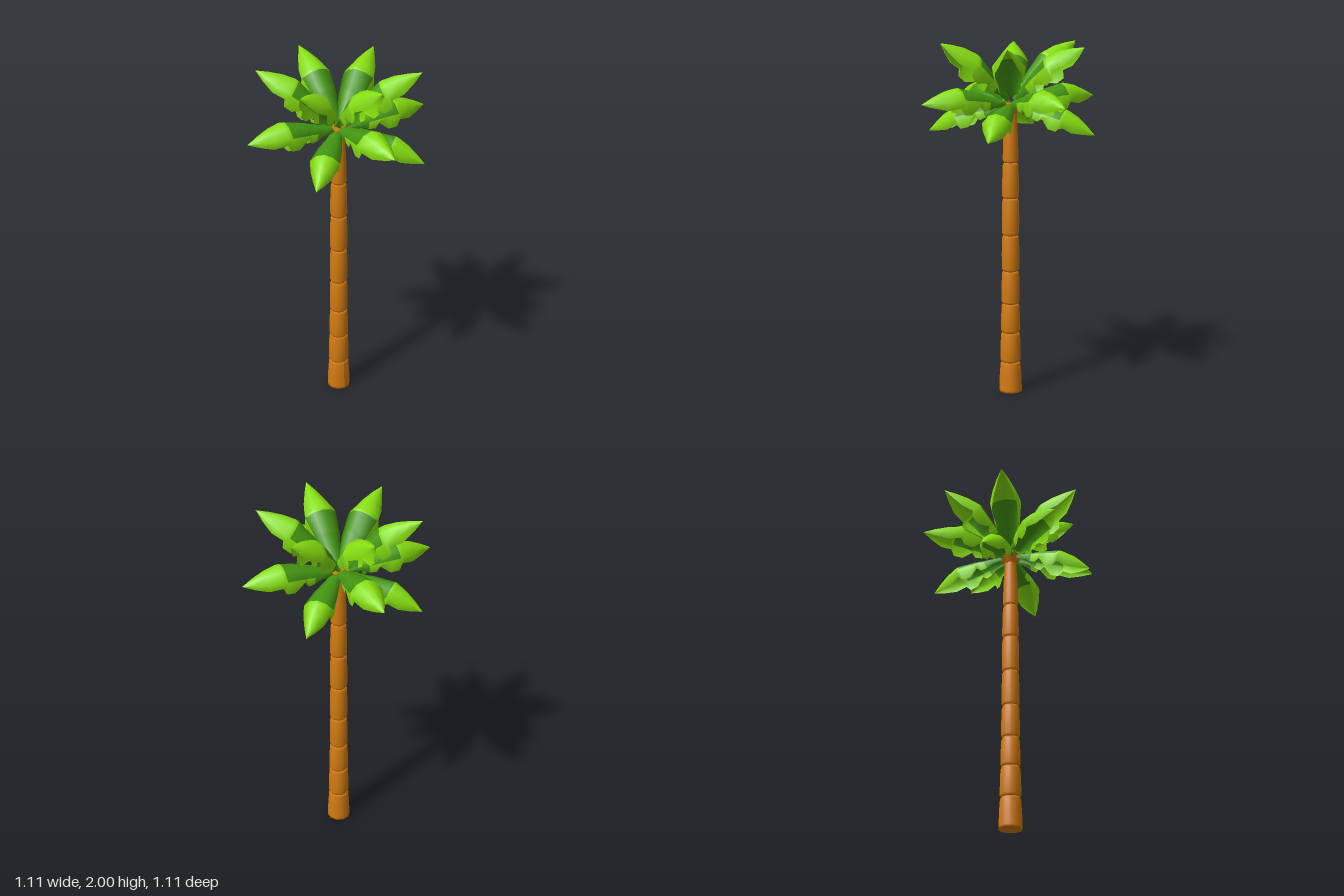
import * as THREE from 'three';

const barkMat = new THREE.MeshStandardMaterial({ color: 0xd27a10 });
barkMat.name = 'bark orange';
const darkLeaf = new THREE.MeshStandardMaterial({ color: 0x449612, side: THREE.DoubleSide });
darkLeaf.name = 'deep green';
const lightLeaf = new THREE.MeshStandardMaterial({ color: 0x86de10, side: THREE.DoubleSide });
lightLeaf.name = 'lime green';

// Frond stations: distance out, half width, ridge height, edge height, ragged hem height
const STATIONS = [
  [0.05, 0.035, 0.035, 0.02, 0.0],
  [0.12, 0.050, 0.058, 0.025, 0.0],
  [0.16, 0.060, 0.068, 0.032, -0.012],
  [0.20, 0.070, 0.082, 0.04, -0.015],
  [0.22, 0.074, 0.088, 0.042, 0.015],
  [0.28, 0.083, 0.102, 0.05, -0.03],
  [0.33, 0.090, 0.115, 0.055, -0.025],
  [0.35, 0.087, 0.115, 0.055, 0.012],
  [0.42, 0.065, 0.1, 0.045, 0.0],
  [0.49, 0.034, 0.07, 0.042, 0.015],
  [0.555, 0, 0.035, 0.035, 0.035],
];

// Arched sheet with drooping hems; dark on the inner top, light on the tip and hems
function frondGeometry() {
  const pos = [], dark = [], light = [];
  for (const [x, w, ridge, edge, hem] of STATIONS) {
    const shoulder = edge + (ridge - edge) * 0.72;
    const half = [[0.82, hem], [1, edge], [0.55, shoulder]];
    for (const [k, y] of half) pos.push(x, y, -w * k);
    pos.push(x, ridge, 0);
    for (const [k, y] of half.slice().reverse()) pos.push(x, y, w * k);
  }
  const cols = 7;
  for (let i = 0; i < STATIONS.length - 1; i++) {
    for (let j = 0; j < cols - 1; j++) {
      const a = i * cols + j, b = a + 1, c = a + cols, d = c + 1;
      const isHem = j === 0 || j === cols - 2;
      const list = i >= 6 || (isHem && i >= 2) ? light : dark;
      list.push(a, b, c);
      if (i < STATIONS.length - 2) list.push(b, d, c);
    }
  }
  const geo = new THREE.BufferGeometry();
  geo.setAttribute('position', new THREE.Float32BufferAttribute(pos, 3));
  geo.setIndex([...dark, ...light]);
  geo.addGroup(0, dark.length, 0);
  geo.addGroup(dark.length, light.length, 1);
  geo.computeVertexNormals();
  return geo;
}

function createTrunk() {
  const trunk = new THREE.Group();
  trunk.name = 'trunk';
  const joints = [0, 0.178, 0.352, 0.522, 0.712, 0.92, 1.132, 1.335, 1.65];
  const radii = [0.066, 0.06, 0.057, 0.053, 0.051, 0.05, 0.049, 0.046, 0.033];
  for (let i = 0; i < joints.length - 1; i++) {
    const y0 = joints[i], y1 = joints[i + 1], r0 = radii[i], last = i === joints.length - 2;
    const r1 = last ? radii[i + 1] : radii[i + 1] - 0.002;
    const profile = [
      [0, y0], [r0 - (i ? 0.009 : 0), y0], [r0 - (i ? 0.001 : 0), y0 + 0.014],
      [(r0 + r1) / 2 + 0.001, (y0 + y1) / 2],
      [r1, y1 - 0.014], [last ? r1 : r1 - 0.008, y1], [0, y1],
    ].map(([r, y]) => new THREE.Vector2(r, y));
    const geo = new THREE.LatheGeometry(profile, 20);
    if (i === 0) {
      // ruffle the foot
      const p = geo.attributes.position;
      for (let v = 0; v < p.count; v++) {
        if (p.getY(v) > 0.05) continue;
        const k = 1 - 0.05 * (1 + Math.cos(10 * Math.atan2(p.getZ(v), p.getX(v)))) / 2;
        p.setX(v, p.getX(v) * k);
        p.setZ(v, p.getZ(v) * k);
      }
      geo.computeVertexNormals();
    }
    const mesh = new THREE.Mesh(geo, barkMat);
    mesh.name = 'trunkSegment' + (i + 1);
    trunk.add(mesh);
  }
  // flared crown under the fronds
  const crown = new THREE.Mesh(new THREE.CylinderGeometry(0.066, 0.034, 0.06, 6), barkMat);
  crown.position.y = 1.635;
  crown.rotation.y = Math.PI / 6;
  crown.name = 'trunkCrown';
  trunk.add(crown);
  return trunk;
}

export function createModel() {
  const tree = new THREE.Group();
  tree.name = 'palmTree';
  tree.add(createTrunk());

  const geo = frondGeometry();
  const fronds = new THREE.Group();
  fronds.name = 'fronds';
  fronds.position.y = 1.65;
  // azimuths in degrees, tilt in degrees, scale
  const rings = [
    ['levelFrond', [0, 90, 180, 270], 0, 1],
    ['droopingFrond', [45, 135, 225, 315], -21, 0.9],
    ['raisedFrond', [90, 270], 35.6, 1],
    ['raisedSideFrond', [33, 147, 213, 327], 33.5, 1],
  ];
  for (const [name, azimuths, tilt, scale] of rings) {
    for (const az of azimuths) {
      const frond = new THREE.Mesh(geo, [darkLeaf, lightLeaf]);
      frond.name = name;
      frond.rotation.set(0, THREE.MathUtils.degToRad(az), THREE.MathUtils.degToRad(tilt));
      frond.scale.setScalar(scale);
      fronds.add(frond);
    }
  }
  tree.add(fronds);
  return tree;
}
